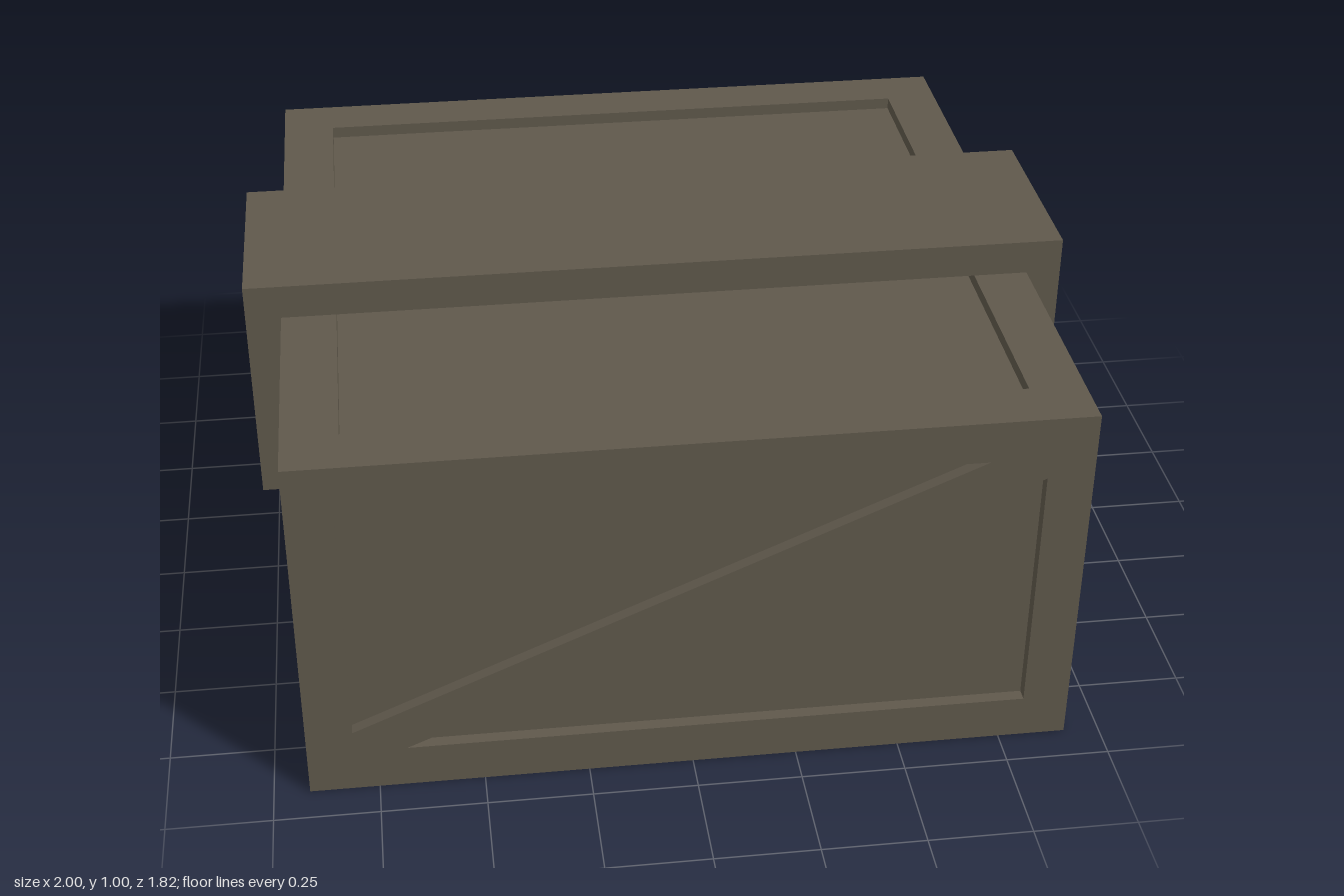
import * as THREE from 'three';

const HX = 0.915, HZ = 0.91, TOP = 0.915, T = 0.03; // crate half sizes, height, frame thickness

// Flat frame in the xy plane, extruded T towards +z, with polygon holes
function frameGeometry(hw, y0, y1, holes) {
  const rect = [[-hw, y0], [hw, y0], [hw, y1], [-hw, y1]];
  const toPoints = (list) => list.map(([x, y]) => new THREE.Vector2(x, y));
  const shape = new THREE.Shape(toPoints(rect));
  for (const hole of holes) shape.holes.push(new THREE.Path(toPoints(hole)));
  return new THREE.ExtrudeGeometry(shape, { depth: T, bevelEnabled: false });
}

export function createModel() {
  const model = new THREE.Group();
  model.name = 'crate';
  const paint = new THREE.MeshStandardMaterial({ color: 0x5f584b });
  paint.name = 'olive brown';

  function add(name, geometry, x = 0, y = 0, z = 0, parent = model) {
    const mesh = new THREE.Mesh(geometry, paint);
    mesh.name = name;
    mesh.position.set(x, y, z);
    parent.add(mesh);
    return mesh;
  }
  const box = (w, h, d) => new THREE.BoxGeometry(w, h, d);

  // Inner body forming the recessed panels
  const bodyTop = TOP - T;
  add('body', box(2 * (HX - T), bodyTop, 2 * (HZ - T)), 0, bodyTop / 2, 0);

  // Front and back frames with a brace rising to the right
  const frontFrame = frameGeometry(HX, 0, bodyTop, [
    [[-0.805, 0.81], [0.67, 0.81], [-0.805, 0.168]],
    [[0.805, 0.755], [0.805, 0.11], [-0.68, 0.11]],
  ]);
  // Side frames with a brace falling to the right
  const sideFrame = frameGeometry(HZ - T, 0, bodyTop, [
    [[-0.65, 0.81], [0.775, 0.81], [0.775, 0.166]],
    [[-0.775, 0.755], [-0.775, 0.11], [0.65, 0.11]],
  ]);
  add('frontFrame', frontFrame, 0, 0, HZ - T);
  add('backFrame', frontFrame, 0, 0, -HZ + T).rotation.y = Math.PI;
  add('leftFrame', sideFrame, HX - T, 0, 0).rotation.y = Math.PI / 2;
  add('rightFrame', sideFrame, -HX + T, 0, 0).rotation.y = -Math.PI / 2;

  // Lid frame with one rectangular recess
  const lid = frameGeometry(HX, -HZ, HZ, [
    [[-0.783, -0.777], [0.783, -0.777], [0.783, 0.777], [-0.783, 0.777]],
  ]);
  add('lidFrame', lid, 0, bodyTop, 0).rotation.x = -Math.PI / 2;

  // Strap across the lid, with two legs and an inset plate on each side
  const strap = new THREE.Group();
  strap.name = 'strap';
  model.add(strap);
  add('strapTop', box(2, 1 - TOP, 0.5), 0, (1 + TOP) / 2, 0, strap);
  for (const s of [-1, 1]) {
    for (const k of [-1, 1]) {
      add('strapLeg', box(1 - HX, TOP - 0.42, 0.087),
        s * (1 + HX) / 2, (TOP + 0.42) / 2, k * 0.2065, strap);
    }
    // Plate reaches back to the recessed panel
    add('strapPlate', box(0.95 - HX + T, TOP - 0.45, 0.326),
      s * (0.95 + HX - T) / 2, (TOP + 0.45) / 2, 0, strap);
  }
  return model;
}
